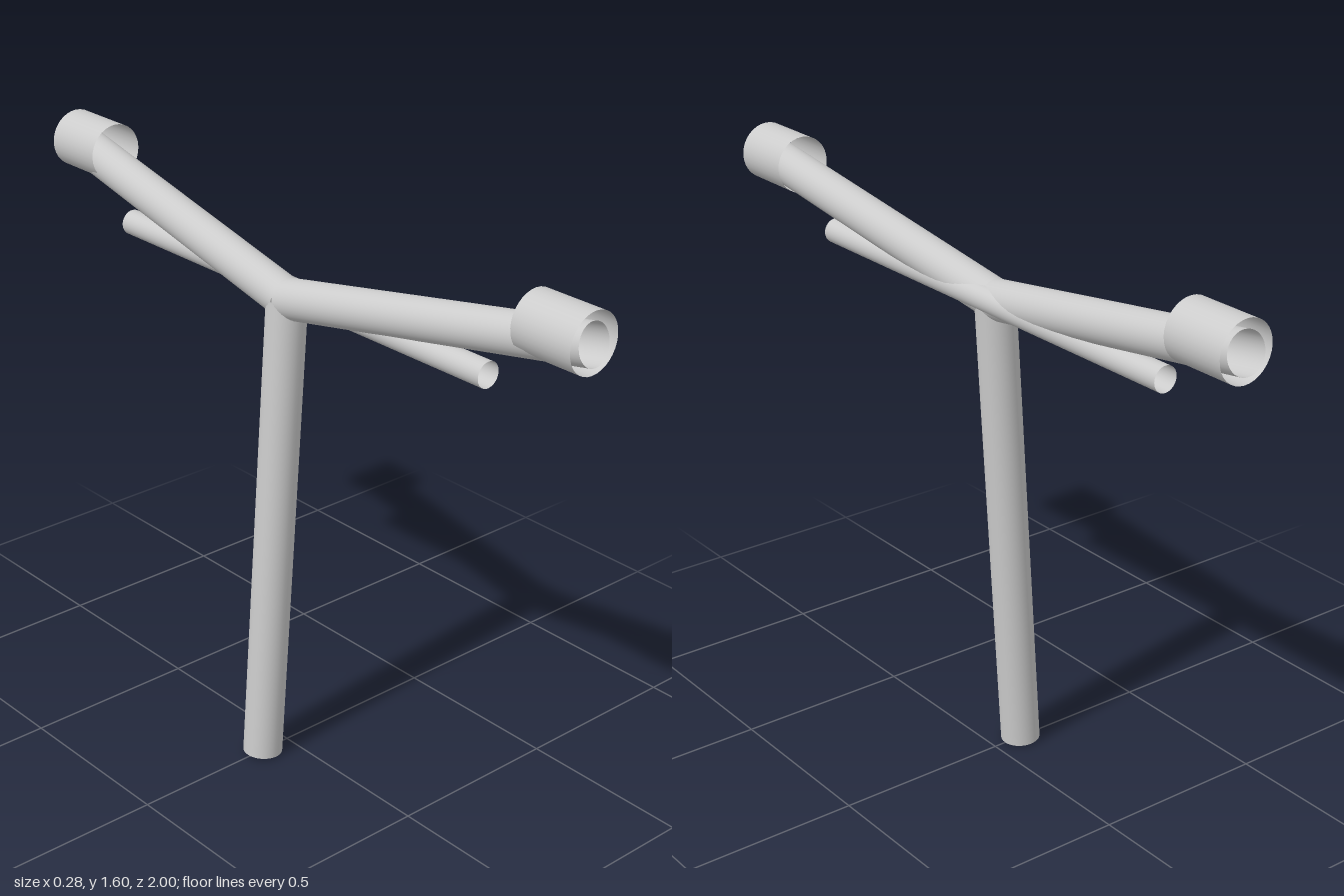
import * as THREE from 'three';

const material = new THREE.MeshStandardMaterial({ color: 0xcccccc, side: THREE.DoubleSide });

// Open-ended tube of a given radius running between two points
function pipe(name, from, to, radius) {
  const a = new THREE.Vector3(...from);
  const b = new THREE.Vector3(...to);
  const axis = b.clone().sub(a);
  const mesh = new THREE.Mesh(
    new THREE.CylinderGeometry(radius, radius, axis.length(), 32, 1, true), material);
  mesh.name = name;
  mesh.position.copy(a).add(b).multiplyScalar(0.5);
  mesh.quaternion.setFromUnitVectors(new THREE.Vector3(0, 1, 0), axis.normalize());
  return mesh;
}

export function createModel() {
  const group = new THREE.Group();
  group.name = 'handlebarStem';

  // Leaning post
  group.add(pipe('post', [-0.09, 0.004, 0], [0, 1.345, 0], 0.055));

  // Straight cross bar running through the joint
  group.add(pipe('crossBar', [0.03, 1.355, -0.695], [0.03, 1.355, 0.695], 0.035));

  // Rising arms, each ending in a wider sleeve grip
  for (const [side, s] of [['front', 1], ['back', -1]]) {
    group.add(pipe(side + 'Arm', [0, 1.345, 0], [0.06, 1.52, 0.99 * s], 0.055));
    group.add(pipe(side + 'Grip', [0.06, 1.523, 0.805 * s], [0.06, 1.523, 0.99 * s], 0.08));
  }
  return group;
}
